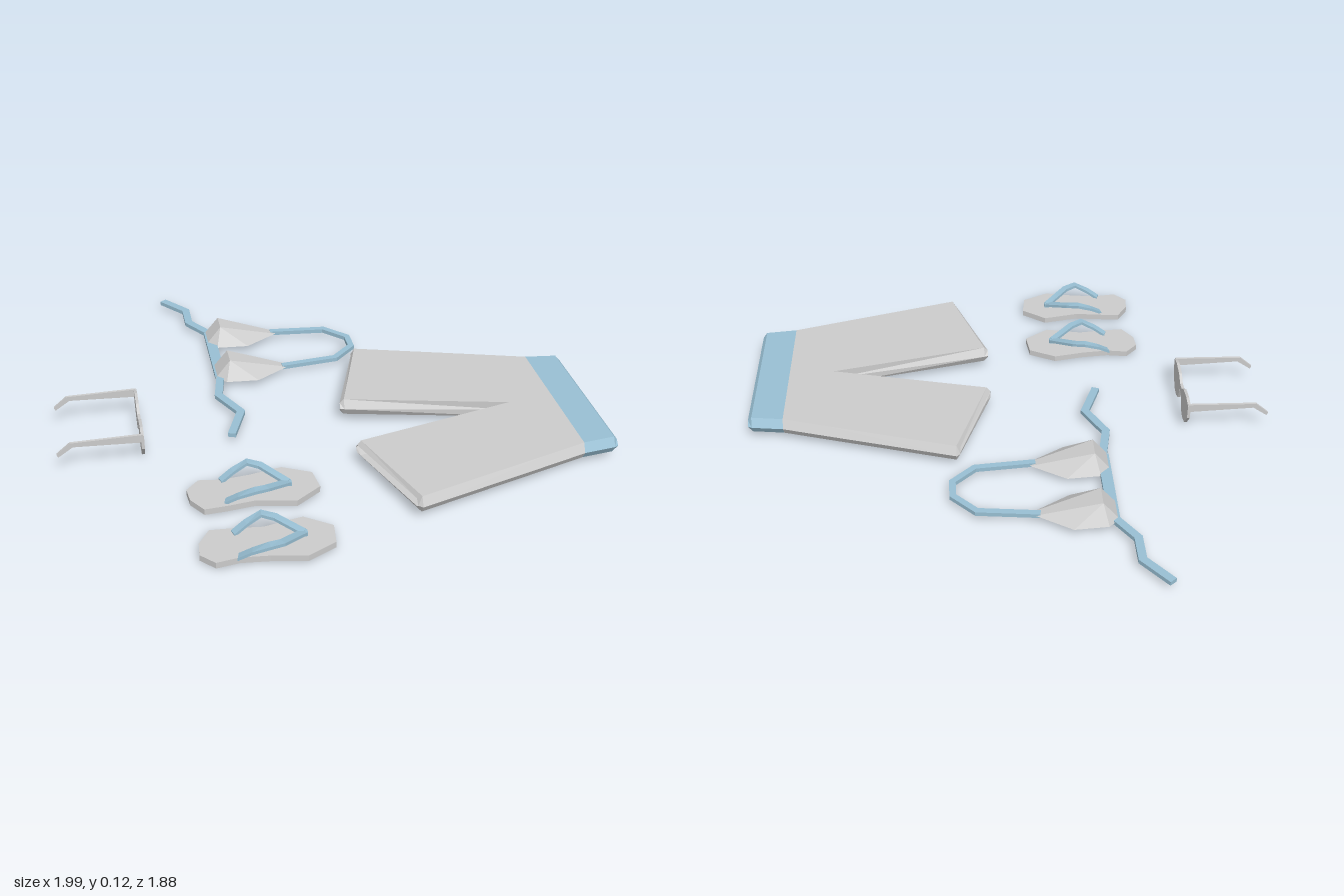
import * as THREE from 'three';

const grey = new THREE.MeshStandardMaterial({ color: 0xcccccc, flatShading: true, side: THREE.DoubleSide });
const blue = new THREE.MeshStandardMaterial({ color: 0x98bfd3, flatShading: true, side: THREE.DoubleSide });

// Joins cross-sections ([x, y, z] corners) with quads, turned to face outward.
function loft(rings, { closed = true, caps = false } = {}) {
  const n = rings[0].length, points = rings.flat(), tris = [];
  for (let r = 0; r < rings.length - 1; r++) {
    for (let i = 0; i < (closed ? n : n - 1); i++) {
      const a = r * n + i, b = r * n + (i + 1) % n;
      tris.push([a, b, b + n], [a, b + n, a + n]);
    }
  }
  if (caps) {
    const end = (rings.length - 1) * n;
    for (let i = 1; i < n - 1; i++) tris.push([0, i + 1, i], [end, end + i, end + i + 1]);
  }
  const v = points.map(p => new THREE.Vector3(...p));
  const centre = v.reduce((s, p) => s.add(p), new THREE.Vector3()).divideScalar(v.length);
  let volume = 0;
  for (const [a, b, c] of tris) {
    const [p, q, s] = [a, b, c].map(i => v[i].clone().sub(centre));
    volume += p.dot(q.cross(s));
  }
  const g = new THREE.BufferGeometry();
  g.setAttribute('position', new THREE.Float32BufferAttribute(points.flat(), 3));
  g.setIndex(tris.flatMap(t => (volume < 0 ? [t[0], t[2], t[1]] : t)));
  const flat = g.toNonIndexed();
  flat.computeVertexNormals();
  return flat;
}

// Flat band along a polyline, mitred in plan.
function ribbon(path, width, thick) {
  const dir = (a, b) => new THREE.Vector2(b[0] - a[0], b[2] - a[2]).normalize();
  const rings = path.map((p, i) => {
    const d0 = dir(path[Math.max(i - 1, 0)], path[Math.max(i, 1)]);
    const last = path.length - 1;
    const d1 = dir(path[Math.min(i, last - 1)], path[Math.min(i + 1, last)]);
    const d = d0.clone().add(d1).normalize();
    const w = width / 2 / Math.max(d.dot(d0), 0.6), h = thick / 2;
    const sx = -d.y * w, sz = d.x * w;
    return [[1, 1], [-1, 1], [-1, -1], [1, -1]].map(([s, t]) => [p[0] + s * sx, p[1] + t * h, p[2] + s * sz]);
  });
  return loft(rings, { caps: true });
}

function add(parent, name, geometry, material) {
  const mesh = new THREE.Mesh(geometry, material);
  mesh.name = name;
  parent.add(mesh);
  return mesh;
}

// Flat outline of [x, z] points raised from y0 to y1.
function slab(outline, y0, y1) {
  const shape = new THREE.Shape(outline.map(([x, z]) => new THREE.Vector2(x, -z)));
  return new THREE.ExtrudeGeometry(shape, { depth: y1 - y0, bevelEnabled: false })
    .rotateX(-Math.PI / 2).translate(0, y0, 0);
}

function makeShorts() {
  const g = new THREE.Group();
  g.name = 'shorts';
  for (const side of [1, -1]) {
    // Half section: outer point, inner point, inner bevel, bottom and top heights
    const section = (xo, uo, xi, ui, bevel, y0, y1) => [
      [xi, y1, ui + bevel], [xo, y1, uo - 0.02], [xo, 0.061, uo], [xo, y0, uo - 0.02],
      [xi, y0, ui + bevel], [xi, 0.061, ui],
    ].map(([x, y, u]) => [x, y, 0.263 + side * u]);
    const band = [
      section(0.99, 0.312, 0.99, 0, 0, 0.047, 0.078),
      section(0.975, 0.32, 0.975, 0, 0, 0.03, 0.094),
      section(0.855, 0.335, 0.855, 0, 0, 0.03, 0.094),
    ];
    const crotch = section(0.68, 0.389, 0.68, 0, 0, 0.03, 0.094);
    const leg = [
      crotch,
      section(0.2, 0.535, 0.075, 0.125, 0.018, 0.03, 0.094),
      section(0.185, 0.522, 0.06, 0.13, 0.016, 0.047, 0.078),
    ];
    const open = rings => rings.map(r => r.slice(0, 5));
    add(g, 'waistband', loft(open(band), { closed: false }), blue);
    add(g, 'hip', loft(open([band[2], crotch]), { closed: false }), grey);
    add(g, 'leg', loft(leg), grey);
  }
  return g;
}

function makeBikiniTop() {
  const g = new THREE.Group();
  g.name = 'bikiniTop';
  const half = [[-0.365, 0.045], [-0.325, 0.085], [-0.2, 0.095], [-0.07, 0.013]];
  const base = [...half.map(([x, z]) => [x, -z]), ...half.slice().reverse()];
  for (const cz of [-0.57, -0.288]) {
    const rim = base.map(([x, z]) => [x, 0.028, cz + z]);
    const peak = base.map(([, z]) => [-0.305, 0.1, cz + Math.sign(z) * 0.042]);
    add(g, 'cup', loft([rim, peak]), grey);
  }
  const strap = (name, pts, w) => add(g, name, ribbon(pts.map(([x, z]) => [x, 0.028, z]), w, 0.016), blue);
  strap('backTie', [[-0.505, -0.94], [-0.417, -0.83], [-0.417, -0.72], [-0.345, -0.61]], 0.03);
  strap('centreBand', [[-0.345, -0.61], [-0.345, -0.25]], 0.042);
  strap('frontTie', [[-0.345, -0.25], [-0.372, -0.105], [-0.305, 0.03], [-0.362, 0.18]], 0.03);
  strap('neckStrap', [[-0.09, -0.575], [0.135, -0.552], [0.218, -0.465], [0.218, -0.385],
    [0.135, -0.305], [-0.09, -0.283]], 0.024);
  return g;
}

function makeFlipFlop(cz, side) {
  const g = new THREE.Group();
  g.name = 'flipFlop';
  const sole = [[-0.567, -0.03], [-0.52, -0.08], [-0.44, -0.068], [-0.34, -0.078], [-0.22, -0.102], [-0.118, -0.05],
    [-0.107, 0.04], [-0.2, 0.107], [-0.34, 0.078], [-0.44, 0.09], [-0.52, 0.095], [-0.562, 0.03]];
  add(g, 'sole', slab(sole.map(([x, z]) => [x, cz + side * z]), 0.007, 0.03), grey);
  // Thong strap: one band over each side of the foot, meeting at the toe post
  for (const s of [1, -1]) {
    const path = [[-0.445, 0.028, s * 0.062], [-0.4, 0.055, s * 0.075], [-0.345, 0.078, s * 0.088], [-0.3, 0.07, s * 0.07],
      [-0.215, 0.04, 0.008]];
    add(g, 'strap', ribbon(path.map(([x, y, z]) => [x, y, cz + side * z]), 0.028, 0.012), blue);
  }
  add(g, 'toePost', new THREE.BoxGeometry(0.02, 0.03, 0.02), blue).position.set(-0.213, 0.03, cz + side * 0.008);
  return g;
}

function makeSunglasses() {
  const g = new THREE.Group();
  g.name = 'sunglasses';
  const cz = 0.09;
  const lens = [[0.018, 0.095], [0.055, 0.118], [0.12, 0.125], [0.165, 0.115], [0.165, 0.06], [0.12, 0.008],
    [0.075, 0], [0.04, 0.015], [0.018, 0.06]];
  const temple = [[-0.69, 0.12], [-0.95, 0.117], [-1, 0.075], [-0.995, 0.063], [-0.94, 0.1], [-0.69, 0.088]];
  for (const s of [1, -1]) {
    const rings = [-0.698, -0.687].map(x => lens.map(([u, y]) => [x, y, cz + s * u]));
    add(g, 'lens', loft(rings, { caps: true }), grey);
    const shape = new THREE.Shape(temple.map(p => new THREE.Vector2(...p)));
    const arm = new THREE.ExtrudeGeometry(shape, { depth: 0.01, bevelEnabled: false });
    add(g, 'temple', arm, grey).position.z = cz + s * 0.16 - 0.005;
  }
  add(g, 'bridge', new THREE.BoxGeometry(0.011, 0.025, 0.04), grey).position.set(-0.6925, 0.082, cz);
  return g;
}

export function createModel() {
  const model = new THREE.Group();
  model.name = 'beachwear';
  model.add(makeShorts(), makeBikiniTop(), makeFlipFlop(0.525, 1), makeFlipFlop(0.832, -1), makeSunglasses());
  return model;
}
